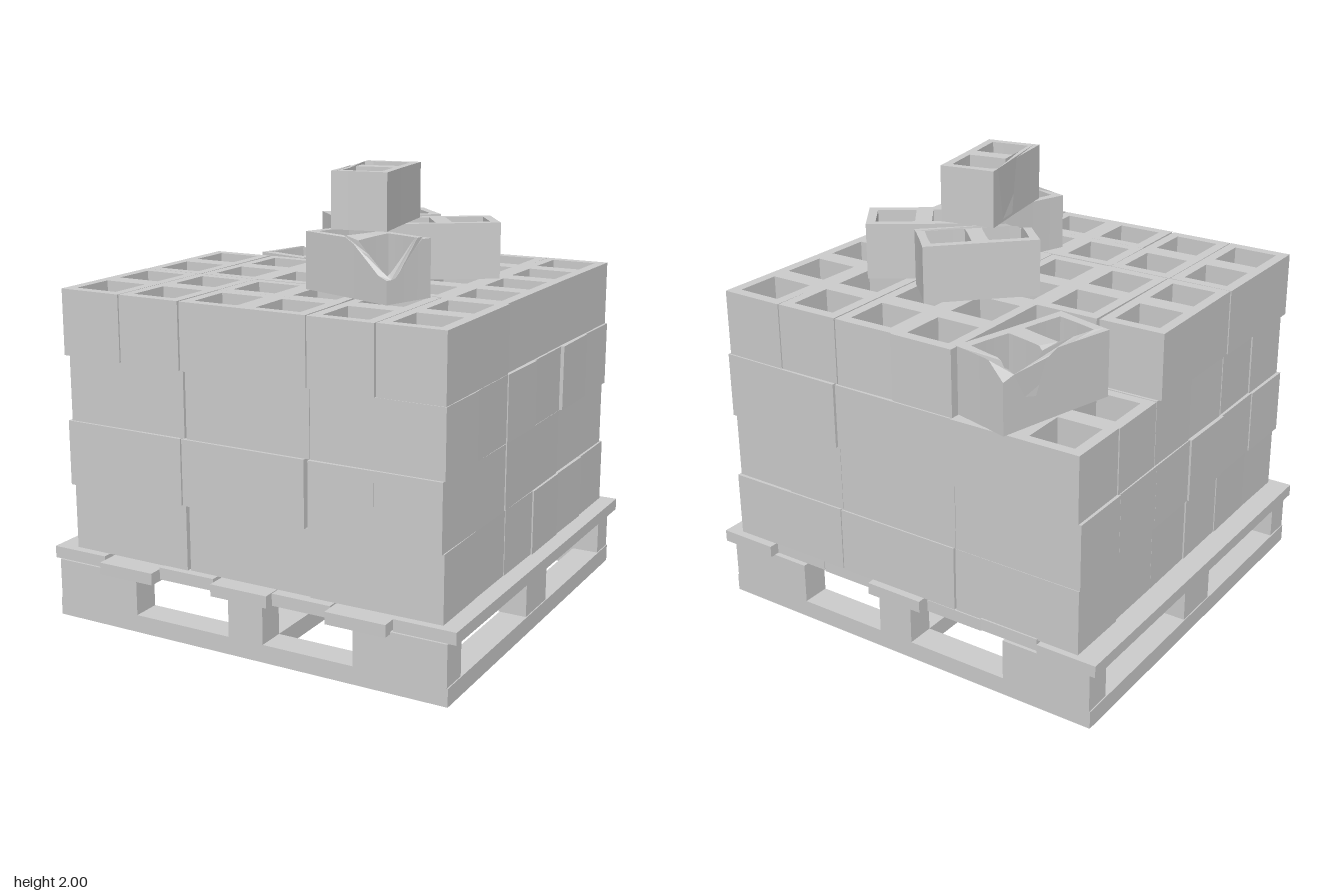
import * as THREE from 'three';
import { mergeGeometries } from 'three/addons/utils/BufferGeometryUtils.js';

const material = new THREE.MeshStandardMaterial({ color: 0xcccccc, flatShading: true });

// Small seeded generator, -1..1
let seed = 7;
const jitter = () => {
  seed = (seed * 16807) % 2147483647;
  return (seed / 2147483647) * 2 - 1;
};

// Rectangle outline split into n steps a side; a slight bow keeps every point in the triangulation
function ring(w, d, cx, n, bow) {
  const c = [[-w / 2, -d / 2], [w / 2, -d / 2], [w / 2, d / 2], [-w / 2, d / 2]];
  const inward = [[0, 1], [-1, 0], [0, -1], [1, 0]];
  const points = [];
  for (let s = 0; s < 4; s++) {
    const a = c[s], b = c[(s + 1) % 4];
    for (let k = 0; k < n; k++) {
      const t = k / n, o = bow * Math.sin(Math.PI * t);
      points.push(new THREE.Vector2(
        cx + a[0] + (b[0] - a[0]) * t + inward[s][0] * o,
        a[1] + (b[1] - a[1]) * t + inward[s][1] * o));
    }
  }
  return points;
}

// Two-cell hollow block standing on y = 0; topAt(x, y) lowers its top where it is broken
function blockGeometry(length, width, height, closed, topAt) {
  const n = topAt ? 10 : 1, bow = topAt ? 0.002 : 0;
  const shape = new THREE.Shape(ring(length, width, 0, n, bow));
  const cell = width * 0.69, offset = length * 0.247;
  for (const s of [-1, 1]) shape.holes.push(new THREE.Path(ring(cell, cell, s * offset, n, -bow)));
  const geometry = new THREE.ExtrudeGeometry(shape, { depth: height, bevelEnabled: false });
  if (topAt) {
    const p = geometry.attributes.position;
    for (let i = 0; i < p.count; i++) {
      if (p.getZ(i) > height / 2) p.setZ(i, Math.max(0.012, topAt(p.getX(i), p.getY(i))));
    }
  }
  geometry.rotateX(-Math.PI / 2);
  const parts = [geometry];
  if (closed) {
    for (const s of [-1, 1]) {
      parts.push(new THREE.BoxGeometry(cell, 0.015, cell).toNonIndexed().translate(s * offset, 0.01, 0));
    }
  }
  const merged = mergeGeometries(parts);
  merged.computeVertexNormals();
  return merged;
}

function add(parent, name, geometry, x, y, z, turn = 0) {
  const mesh = new THREE.Mesh(geometry, material);
  mesh.name = name;
  mesh.position.set(x, y, z);
  mesh.rotation.y = turn;
  parent.add(mesh);
  return mesh;
}

function buildPallet() {
  const pallet = new THREE.Group();
  pallet.name = 'pallet';
  const box = (name, w, h, d, x, y, z) => add(pallet, name, new THREE.BoxGeometry(w, h, d), x, y, z);

  // Ground frame with a middle runner
  for (const z of [-0.87, 0.855]) box('frameCrossBar', 1.93, 0.08, 0.13, 0, 0.04, z);
  for (const x of [-0.9, 0.9]) box('frameSideBar', 0.13, 0.08, 1.6, x, 0.04, -0.01);
  box('middleRunner', 0.17, 0.08, 1.6, 0.025, 0.04, -0.01);

  // Spacer posts: wide at the corners, narrow between
  for (const [z, d] of [[-0.87, 0.13], [-0.005, 0.23], [0.855, 0.13]]) {
    const w = d > 0.2 ? 0.13 : 0.42;
    for (const s of [-1, 1]) box('post', w, 0.185, d, s * (0.96 - w / 2), 0.1725, z);
    box('middlePost', 0.17, 0.185, d, 0.025, 0.1725, z);
  }

  // Uneven deck planks: x, back end, front end, tilt
  const planks = [
    [-0.855, -0.95, 0.91, 0], [-0.565, -0.93, 0.96, 0.01], [-0.28, -0.92, 0.91, -0.004],
    [0.01, -0.96, 0.95, 0.003], [0.29, -0.92, 0.91, 0.004], [0.57, -0.92, 0.96, 0.009],
    [0.855, -0.96, 0.91, 0],
  ];
  for (const [x, back, front, tilt] of planks) {
    box('deckPlank', 0.277, 0.054, front - back, x, 0.291, (front + back) / 2).rotation.x = tilt;
  }
  return pallet;
}

// Layer plans, back row first: H lies along x, V lies along z, each covering two cells
const crossRows = Array(6).fill('H.H.H.');
const layers = [
  crossRows,
  ['H.H.VV', 'H.H...', 'H.H.VV', 'H.H...', 'H.H.VV', 'H.H...'],
  crossRows,
  ['..VVVV', '......', 'VVVVVV', '......', 'VVH.VV', '..H...'],
];

function buildStack() {
  const stack = new THREE.Group();
  stack.name = 'blockStack';
  const geometry = blockGeometry(0.6, 0.3, 0.294, true);
  layers.forEach((rows, level) => {
    const layer = new THREE.Group();
    layer.name = 'blockLayer' + (level + 1);
    const shift = level % 2 ? -0.005 : 0.005;
    rows.forEach((row, r) => [...row].forEach((kind, c) => {
      if (kind === '.') return;
      const along = kind === 'V';
      const x = 0.01 + shift + (c - 2.5 + (along ? 0 : 0.5)) * 0.303;
      const z = -0.02 - shift + (r - 2.5 + (along ? 0.5 : 0)) * 0.301;
      add(layer, 'block', geometry, x + jitter() * 0.006, 0.32 + level * 0.295, z + jitter() * 0.006,
        (along ? Math.PI / 2 : 0) + jitter() * 0.012);
    }));
    stack.add(layer);
  });
  return stack;
}

function buildLooseBlocks() {
  const loose = new THREE.Group();
  loose.name = 'looseBlocks';
  const deg = Math.PI / 180;
  const clamp = (v) => THREE.MathUtils.clamp(v, 0, 1);
  const h = 0.25;

  // Chipped at one end corner
  const chipped = (x, y) => h - 0.08 * clamp(1 - Math.hypot(x + 0.25, y + 0.125) / 0.07);
  add(loose, 'chippedBlock', blockGeometry(0.5, 0.25, h, false, chipped), 0.015, 1.5, -0.305, 45 * deg);

  add(loose, 'wholeBlock', blockGeometry(0.5, 0.25, h, false), 0.365, 1.5, -0.21, 35 * deg);

  // One end corner broken away in a slope
  const sloped = (x, y) => h - 0.15 * clamp((x - 0.02) / 0.2) * clamp((0.07 - y) / 0.15);
  add(loose, 'slopedBlock', blockGeometry(0.5, 0.25, h, false, sloped), 0.3, 1.5, 0.36, -19 * deg);

  // Side wall missing beside one cell
  const gapped = (x, y) => (y < -0.08 && x > -0.2 && x < -0.04 ? 0 : h);
  add(loose, 'gappedBlock', blockGeometry(0.5, 0.25, h, false, gapped), 0.17, 1.75, 0.03, -80 * deg);

  // Block in the open corner, with a scooped side wall and a worn corner
  const scooped = (x, y) => 0.294
    - (y > 0.08 ? 0.21 * Math.exp(-(((x - 0.14) / 0.06) ** 2)) : 0)
    - 0.07 * clamp(1 - Math.hypot(x - 0.285, y - 0.145) / 0.09);
  add(loose, 'scoopedBlock', blockGeometry(0.57, 0.285, 0.294, true, scooped), -0.49, 1.206, -0.635, 75.5 * deg);
  return loose;
}

export function createModel() {
  seed = 7;
  const model = new THREE.Group();
  model.name = 'palletOfBlocks';
  model.add(buildPallet(), buildStack(), buildLooseBlocks());
  return model;
}
